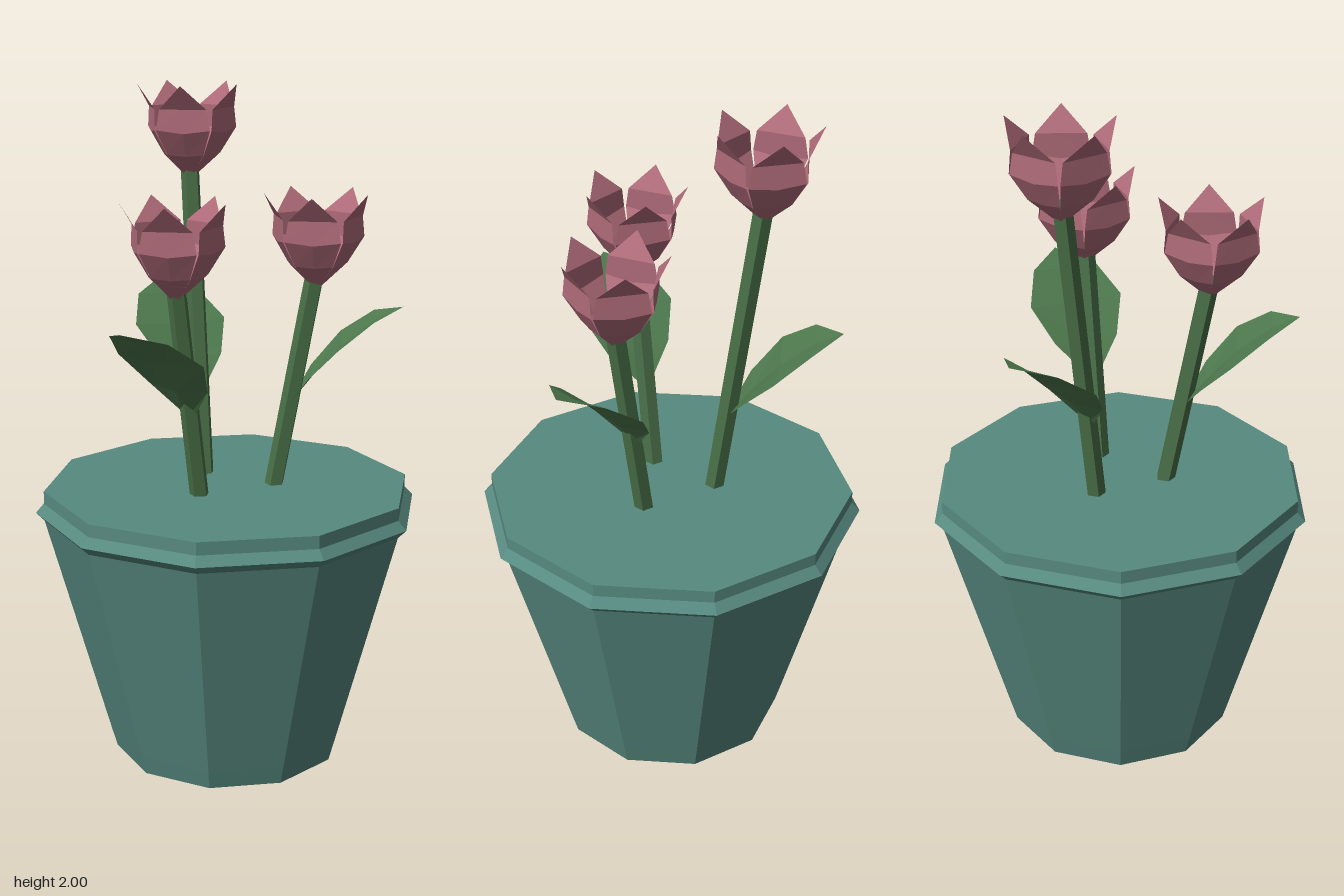
import * as THREE from 'three';

const mat = (color, side = THREE.FrontSide) =>
  new THREE.MeshStandardMaterial({ color, flatShading: true, side });

// Three-point-wide blade growing along +x; rows are [out, up, halfWidth, edgeLift, edgePull]
function bladeGeometry(rows) {
  const pos = [], idx = [];
  rows.forEach(([out, up, w, lift, pull], i) => {
    pos.push(out - pull, up + lift, -w, out, up, 0, out - pull, up + lift, w);
    if (!i) return;
    for (let j = 0; j < 2; j++) {
      const a = (i - 1) * 3 + j, b = a + 3;
      idx.push(a, a + 1, b, a + 1, b + 1, b);
    }
  });
  const g = new THREE.BufferGeometry();
  g.setAttribute('position', new THREE.Float32BufferAttribute(pos, 3));
  g.setIndex(idx);
  g.computeVertexNormals();
  return g;
}

export function createModel() {
  const model = new THREE.Group();
  const potMat = mat(0x578a80);
  const stemMat = mat(0x4a7048);
  const leafMat = mat(0x4f7a4f, THREE.DoubleSide);
  const petalMat = mat(0xb06c7a, THREE.DoubleSide);

  // Ten-sided pot with ridged rim and closed top
  const profile = [[0, 0], [0.345, 0], [0.362, 0.06], [0.55, 0.745], [0.575, 0.77],
    [0.55, 0.797], [0.55, 0.835], [0, 0.835]].map(([r, y]) => new THREE.Vector2(r, y));
  const pot = new THREE.Mesh(new THREE.LatheGeometry(profile, 10, Math.PI / 2), potMat);
  pot.name = 'pot';
  model.add(pot);

  // Petal: cupped, then curling out to a point
  const petalGeo = bladeGeometry([
    [0.015, 0, 0.011, 0, 0],
    [0.075, 0.06, 0.054, 0.005, 0],
    [0.115, 0.13, 0.08, 0.01, 0],
    [0.113, 0.2, 0.07, 0, 0],
    [0.156, 0.27, 0, 0, 0],
  ]);
  // Leaf: broad, arching outward, slightly folded along its middle
  const leafGeo = bladeGeometry([
    [0, 0, 0.02, 0, 0],
    [0.065, 0.08, 0.1, 0.01, 0.01],
    [0.15, 0.175, 0.147, 0.01, 0.01],
    [0.25, 0.255, 0.1, 0.005, 0.01],
    [0.325, 0.29, 0, 0, 0],
  ]);

  // Each plant: stem base, flower base, leaf base, leaf tip (x, z)
  const plants = [
    { name: 'backLeft', base: [-0.112, -0.07], flower: [-0.205, 1.73, -0.157], leaf: [-0.145, -0.09], tip: [-0.41, -0.31] },
    { name: 'right', base: [0.125, -0.06], flower: [0.237, 1.44, -0.102], leaf: [0.17, -0.08], tip: [0.475, -0.2] },
    { name: 'front', base: [-0.022, 0.135], flower: [-0.032, 1.44, 0.256], leaf: [-0.025, 0.19], tip: [-0.065, 0.51] },
  ];
  const up = new THREE.Vector3(0, 1, 0);
  for (const p of plants) {
    const plant = new THREE.Group();
    plant.name = p.name + 'Plant';

    // Leaning five-sided stem
    const a = new THREE.Vector3(p.base[0], 0.82, p.base[1]);
    const b = new THREE.Vector3(p.flower[0], p.flower[1] + 0.045, p.flower[2]);
    const dir = b.clone().sub(a);
    const stem = new THREE.Mesh(new THREE.CylinderGeometry(0.029, 0.029, dir.length(), 5), stemMat);
    stem.position.copy(a).lerp(b, 0.5);
    stem.quaternion.setFromUnitVectors(up, dir.normalize());
    stem.name = 'stem';
    plant.add(stem);

    // Leaf
    const leaf = new THREE.Mesh(leafGeo, leafMat);
    leaf.position.set(p.leaf[0], 1.09, p.leaf[1]);
    leaf.rotation.y = Math.atan2(p.leaf[1] - p.tip[1], p.tip[0] - p.leaf[0]);
    leaf.name = 'leaf';
    plant.add(leaf);

    // Five-petal flower
    const flower = new THREE.Group();
    flower.name = 'flower';
    flower.position.set(...p.flower);
    for (let i = 0; i < 5; i++) {
      const petal = new THREE.Mesh(petalGeo, petalMat);
      petal.rotation.y = (i * Math.PI * 2) / 5;
      petal.name = 'petal';
      flower.add(petal);
    }
    plant.add(flower);
    model.add(plant);
  }
  return model;
}
